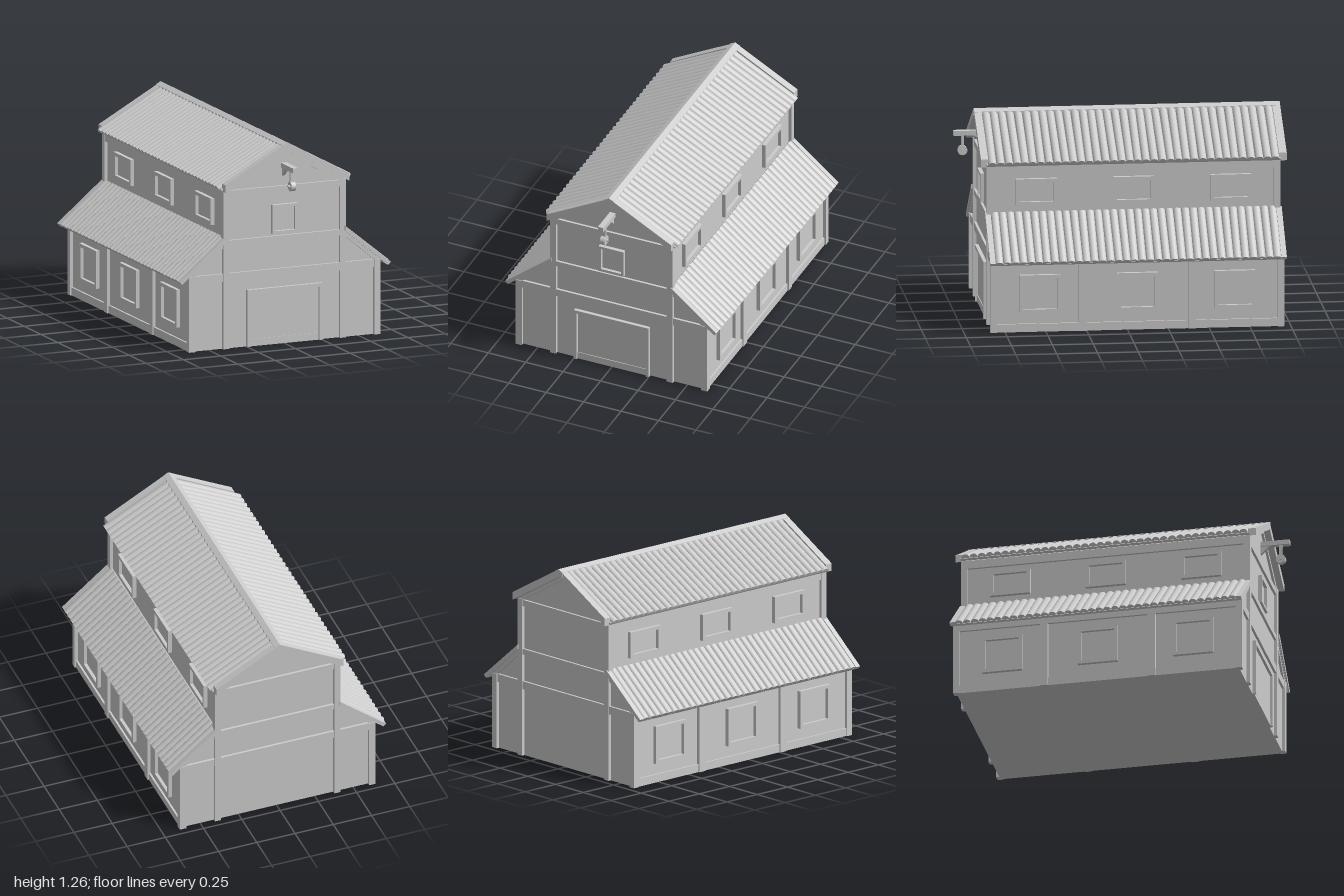
import * as THREE from 'three';
import { mergeGeometries } from 'three/addons/utils/BufferGeometryUtils.js';

const grey = new THREE.MeshStandardMaterial({ color: 0xcccccc });
grey.name = 'plain grey';

const HALF = 0.9; // half length of the building along z

function add(parent, name, geo) {
  const mesh = new THREE.Mesh(geo, grey);
  mesh.name = name;
  parent.add(mesh);
  return mesh;
}

// Box given by its extents
function box(x0, x1, y0, y1, z0, z1) {
  return new THREE.BoxGeometry(x1 - x0, y1 - y0, z1 - z0)
    .translate((x0 + x1) / 2, (y0 + y1) / 2, (z0 + z1) / 2);
}

// Outline in x, y drawn out along z
function prism(points, z0, z1) {
  const shape = new THREE.Shape(points.map(([x, y]) => new THREE.Vector2(x, y)));
  return new THREE.ExtrudeGeometry(shape, { depth: z1 - z0, bevelEnabled: false }).translate(0, 0, z0);
}

// Rectangular frame in the xy plane, facing +z
function frame(w, h, t, depth) {
  const rect = (P, a, b) => new P([[-a, -b], [a, -b], [a, b], [-a, b]].map(([x, y]) => new THREE.Vector2(x, y)));
  const shape = rect(THREE.Shape, w / 2, h / 2);
  shape.holes.push(rect(THREE.Path, w / 2 - t, h / 2 - t));
  return new THREE.ExtrudeGeometry(shape, { depth, bevelEnabled: false });
}

// Row of half-round tiles running down a slope from (x0, y0) to (x1, y1)
function tiles(x0, y0, x1, y1, halfZ, count, height) {
  const length = Math.hypot(x1 - x0, y1 - y0);
  const slope = Math.atan2(y0 - y1, x1 - x0);
  const pitch = (2 * halfZ) / count;
  const parts = [];
  for (let i = 0; i < count; i++) {
    const tile = new THREE.CylinderGeometry(pitch / 2, pitch / 2, length, 10, 1, false, 0, Math.PI);
    tile.scale(height / (pitch / 2), 1, 1.03);
    tile.rotateX(0.008 * Math.sin(i * 7.3)); // slightly uneven laying
    tile.rotateZ(Math.PI / 2 - slope);
    tile.translate((x0 + x1) / 2, (y0 + y1) / 2, -halfZ + (i + 0.5) * pitch);
    parts.push(tile);
  }
  return mergeGeometries(parts);
}

// Long side of the building, built on +x
function buildSide() {
  const side = new THREE.Group();

  // Corner posts and middle posts
  for (const s of [-1, 1]) {
    const z = s * (HALF - 0.02);
    add(side, 'cornerPost', box(0.598, 0.64, 0, 0.47, z - 0.02, z + 0.02));
    add(side, 'upperCornerPost', box(0.37, 0.41, 0, 0.99, z - 0.02, z + 0.02));
    const m = s * 0.335;
    add(side, 'middlePost', box(0.61, 0.64, 0, 0.45, m - 0.024, m + 0.024));
  }

  // Horizontal beams
  add(side, 'sillBeam', box(0.61, 0.632, 0, 0.05, -0.87, 0.87));
  add(side, 'eaveBeam', box(0.61, 0.635, 0.415, 0.455, -0.87, 0.87));
  add(side, 'upperEaveBeam', box(0.38, 0.405, 0.94, 0.99, -0.87, 0.87));

  // Windows
  for (const z of [-0.595, 0, 0.595]) {
    for (const [x, y, h] of [[0.62, 0.238, 0.236], [0.39, 0.822, 0.165]]) {
      add(side, 'sideWindowFrame', frame(0.25, h, 0.022, 0.024).rotateY(Math.PI / 2).translate(x, y, z));
      add(side, 'sideWindowPane', box(x - 0.005, x + 0.004, y - h / 2 + 0.02, y + h / 2 - 0.02, z - 0.105, z + 0.105));
    }
  }

  // Main roof
  const bargeTop = (x) => 1.26 - 0.548 * x;
  add(side, 'mainRoofDeck',
    prism([[0, 1.235], [0.43, 0.999], [0.42, 0.988], [0, 1.215]], -HALF, HALF));
  add(side, 'mainRoofTiles', tiles(0.02, 1.225, 0.437, 0.998, 0.89, 36, 0.023));
  for (const [z0, z1] of [[-0.938, -0.89], [0.89, 0.935]]) {
    add(side, 'mainBargeBoard',
      prism([[0, 1.26], [0.415, bargeTop(0.415)], [0.415, 0.985], [0, 1.212]], z0, z1));
  }

  // Lean-to roof
  add(side, 'leanToRoofDeck',
    prism([[0.385, 0.69], [0.695, 0.437], [0.685, 0.428], [0.385, 0.672]], -HALF, HALF));
  add(side, 'leanToRoofTiles', tiles(0.392, 0.687, 0.697, 0.438, 0.875, 36, 0.02));
  for (const [z0, z1] of [[-0.908, -0.875], [0.875, 0.908]]) {
    add(side, 'leanToBargeBoard',
      prism([[0.4, 0.698], [0.705, 0.447], [0.69, 0.43], [0.4, 0.668]], z0, z1));
  }
  return side;
}

// Timber framing of an end wall, built on +z
function buildEnd() {
  const end = new THREE.Group();
  const z0 = 0.87, z1 = 0.895;
  add(end, 'lowerCrossBeam', box(-0.62, 0.62, 0.42, 0.47, z0, z1));
  add(end, 'middleCrossBeam', box(-0.39, 0.39, 0.64, 0.675, z0, z1));
  add(end, 'gableTieBeam', box(-0.39, 0.39, 0.945, 0.985, z0, z1));
  for (const s of [-1, 1]) {
    add(end, 'gableRafter',
      prism([[0, 1.225], [s * 0.405, 1.0], [s * 0.405, 0.982], [s * 0.37, 0.982], [0, 1.19]], z0, z1));
    add(end, 'leanToRafter',
      prism([[s * 0.4, 0.675], [s * 0.64, 0.475], [s * 0.64, 0.46], [s * 0.6, 0.468], [s * 0.4, 0.637]], z0, z1));
  }
  return end;
}

// Door, loft window and hoist on the front
function buildFrontDetails(root) {
  for (const s of [-1, 1]) {
    add(root, 'doorJamb', box(s * 0.24 - 0.01, s * 0.24 + 0.01, 0, 0.355, 0.87, 0.902));
  }
  add(root, 'doorLintel', box(-0.23, 0.23, 0.335, 0.355, 0.87, 0.902));
  add(root, 'doorPanel', box(-0.23, 0.23, 0.045, 0.335, 0.87, 0.886));
  add(root, 'doorSill', box(-0.23, 0.23, 0, 0.045, 0.87, 0.89));
  add(root, 'loftWindowFrame', frame(0.168, 0.18, 0.017, 0.024).translate(0, 0.78, 0.88));
  add(root, 'loftWindowPane', box(-0.07, 0.07, 0.705, 0.855, 0.876, 0.884));

  const hoist = new THREE.Group();
  hoist.name = 'hoist';
  root.add(hoist);
  add(hoist, 'hoistBeam', box(-0.018, 0.018, 1.095, 1.125, 0.86, 1.06));
  add(hoist, 'hoistBrace',
    prism([[0, 1.1], [0.06, 1.1], [0, 1.045]], -0.01, 0.01).rotateY(-Math.PI / 2).translate(0, 0, 0.88));
  add(hoist, 'hoistRope', box(-0.012, 0.012, 1.01, 1.1, 0.995, 1.012));
  add(hoist, 'hoistPulley',
    new THREE.CylinderGeometry(0.03, 0.03, 0.03, 16).rotateZ(Math.PI / 2).translate(0, 1.002, 1.005));
  add(hoist, 'hoistAxle',
    new THREE.CylinderGeometry(0.009, 0.009, 0.052, 10).rotateZ(Math.PI / 2).translate(0, 1.002, 1.005));
}

export function createModel() {
  const model = new THREE.Group();
  model.name = 'barn';
  const root = new THREE.Group();
  root.name = 'building';
  root.position.z = -0.06;
  model.add(root);

  // Walls: tall nave with a lean-to on each side
  const half = [[0.62, 0], [0.62, 0.48], [0.39, 0.67], [0.39, 1.0]];
  const outline = [...half, [0, 1.22], ...half.map(([x, y]) => [-x, y]).reverse()];
  add(root, 'walls', prism(outline, -0.88, 0.88));

  // Long sides and end walls
  ['left', 'right'].forEach((name, i) => {
    const side = buildSide();
    side.name = name + 'Side';
    side.rotation.y = i * Math.PI;
    root.add(side);
  });
  ['front', 'back'].forEach((name, i) => {
    const end = buildEnd();
    end.name = name + 'Framing';
    end.rotation.y = i * Math.PI;
    root.add(end);
  });

  // Ridge
  add(root, 'ridgeCap',
    prism([[0, 1.262], [0.032, 1.245], [0.032, 1.215], [-0.032, 1.215], [-0.032, 1.245]], -0.938, 0.935));

  buildFrontDetails(root);
  return model;
}
